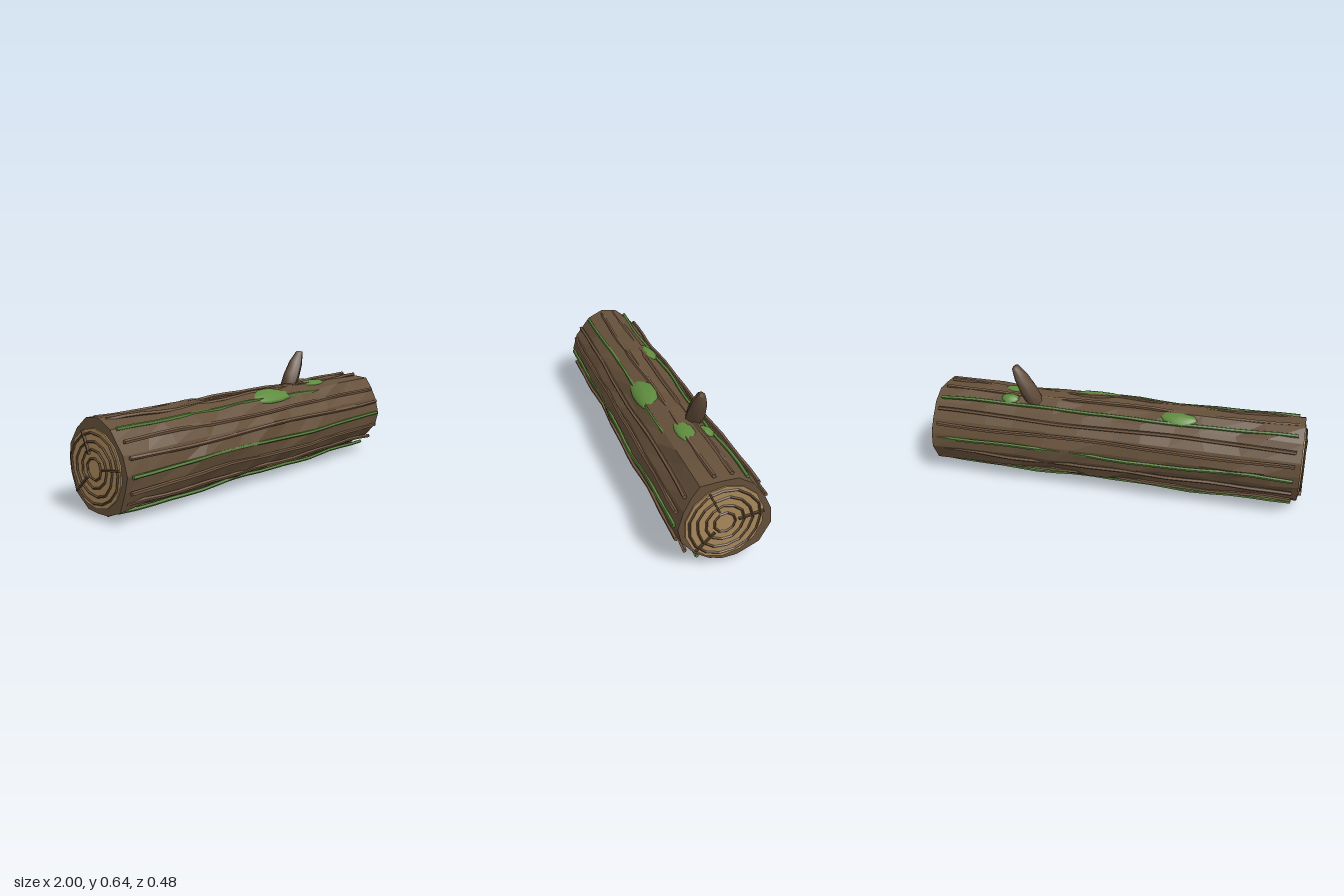
import * as THREE from 'three';

const CY = 0.237; // height of the log's axis
const DEG = Math.PI / 180;

const mat = (color, flatShading = true) => new THREE.MeshStandardMaterial({ color, flatShading });
const BARK = mat(0x65503a), RIDGE = mat(0x705640), MOSS = mat(0x58803a), WOOD = mat(0xa9875a);
const GROOVE = mat(0x5a452e), BRANCH = mat(0x5f4a38, false), MOSS_SOFT = mat(0x5f8c3e, false);

// Small seeded random numbers
function seeded(seed) {
  let s = seed;
  return () => (s = (s * 16807) % 2147483647) / 2147483647;
}

function add(group, name, geometry, material) {
  const mesh = new THREE.Mesh(geometry, material);
  mesh.name = name;
  group.add(mesh);
  return mesh;
}

// Point around the log's axis; angle runs from +z (front) up to +y
const around = (x, angle, r) => new THREE.Vector3(x, CY + r * Math.sin(angle), r * Math.cos(angle));

// Uneven faceted trunk: cross-sections lofted along x, closed at both ends
function trunkGeometry() {
  const angles = [0, 25, 45, 60, 83, 105, 128, 154, 175, 194, 221, 251, 270, 290, 313, 340];
  const radii = [0.215, 0.21, 0.22, 0.238, 0.215, 0.222, 0.215, 0.21, 0.225, 0.238, 0.235, 0.215, 0.208, 0.2, 0.198, 0.21];
  const n = angles.length, rows = 12, rand = seeded(77), pos = [];
  const rings = [];
  for (let i = 0; i <= rows; i++) {
    const end = i === 0 || i === rows;
    const t = i / rows;
    rings.push(angles.map((a, j) => {
      const mixed = THREE.MathUtils.lerp(radii[(j + 5) % n], radii[j], t);
      const r = end ? mixed : 0.55 * mixed + 0.45 * 0.219 + (rand() - 0.5) * 0.022;
      const x = -0.98 + 1.96 * t + (end ? 0 : (rand() - 0.5) * 0.08);
      return around(x, a * DEG, r);
    }));
  }
  const tri = (...pts) => pts.forEach((p) => pos.push(p.x, p.y, p.z));
  const left = around(0.98, 0, 0), right = around(-0.98, 0, 0);
  for (let j = 0; j < n; j++) {
    const k = (j + 1) % n;
    for (let i = 0; i < rows; i++) {
      tri(rings[i][j], rings[i + 1][j], rings[i + 1][k]);
      tri(rings[i][j], rings[i + 1][k], rings[i][k]);
    }
    tri(left, rings[rows][k], rings[rows][j]);
    tri(right, rings[0][j], rings[0][k]);
  }
  const g = new THREE.BufferGeometry();
  g.setAttribute('position', new THREE.Float32BufferAttribute(pos, 3));
  g.computeVertexNormals();
  return g;
}

// Thin strip along the bark that wanders in and out a little
function ridgeGeometry(angle, r, thick, seed) {
  const rand = seeded(seed), p1 = rand() * 6, p2 = rand() * 6;
  const g = new THREE.CylinderGeometry(thick, thick, 1.9, 5, 18).rotateZ(-Math.PI / 2);
  const p = g.attributes.position;
  for (let i = 0; i < p.count; i++) {
    const x = p.getX(i);
    const out = r + p.getY(i) + 0.005 * Math.sin(x * 7 + p1) + 0.003 * Math.sin(x * 15 + p2);
    const v = around(x, angle + 0.025 * Math.sin(x * 5 + p2), out);
    const side = p.getZ(i);
    p.setXYZ(i, x, v.y - side * Math.cos(angle), v.z + side * Math.sin(angle));
  }
  g.computeVertexNormals();
  return g;
}

// Sawn end: pale disc, growth rings and radial cracks; built facing +z
function cutEnd(name, seed) {
  const end = new THREE.Group();
  end.name = name;
  const rand = seeded(seed);
  const disc = add(end, 'cutFace', new THREE.CylinderGeometry(0.187, 0.187, 0.03, 14), WOOD);
  disc.rotation.x = Math.PI / 2;
  disc.position.z = 0.972;
  [0.051, 0.09, 0.13, 0.168].forEach((r, i) => {
    const sides = 9 + i * 2;
    const g = new THREE.TorusGeometry(r, 0.006, 4, sides);
    const wobble = Array.from({ length: sides }, () => 1 + (rand() - 0.5) * 0.06);
    const p = g.attributes.position;
    for (let k = 0; k < p.count; k++) {
      const w = wobble[(k % (sides + 1)) % sides];
      p.setXY(k, p.getX(k) * w, p.getY(k) * w);
    }
    g.computeVertexNormals();
    add(end, 'growthRing', g, GROOVE).position.z = 0.99;
  });
  // Angle, inner and outer radius of each crack
  [[115, 0.07, 0.183], [7, 0.064, 0.184], [223, 0.064, 0.184]].forEach(([a, r0, r1]) => {
    const crack = add(end, 'radialCrack', new THREE.BoxGeometry(r1 - r0, 0.008, 0.014), GROOVE);
    const mid = (r0 + r1) / 2;
    crack.position.set(mid * Math.cos(a * DEG), mid * Math.sin(a * DEG), 0.992);
    crack.rotation.z = a * DEG + (a === 7 ? 0.03 : 0);
  });
  end.position.y = CY;
  return end;
}

// Flattened uneven cushion lying on the bark
function mossPatch(group, x, angle, length, width, height, seed) {
  const rand = seeded(seed), phase = rand() * 6;
  const g = new THREE.SphereGeometry(1, 10, 6);
  const p = g.attributes.position;
  for (let i = 0; i < p.count; i++) {
    const a = Math.atan2(p.getZ(i), p.getX(i));
    const w = 1 + 0.1 * Math.sin(3 * a + phase) + 0.06 * Math.sin(5 * a);
    p.setXYZ(i, p.getX(i) * w * length, p.getY(i) * height, p.getZ(i) * w * width);
  }
  g.computeVertexNormals();
  const patch = add(group, 'mossPatch', g, MOSS_SOFT);
  patch.position.copy(around(x, angle * DEG, 0.217));
  patch.rotation.x = (90 - angle) * DEG;
}

// Leaning broken branch stub with a blunt, uneven tip
function branchStub() {
  const profile = [[0, -0.04], [0.045, -0.04], [0.047, 0.05], [0.039, 0.13], [0.021, 0.195], [0, 0.2]];
  const g = new THREE.LatheGeometry(profile.map(([r, y]) => new THREE.Vector2(r, y)), 7);
  const p = g.attributes.position;
  for (let i = 0; i < p.count; i++) {
    if (p.getY(i) > 0.18) p.setY(i, p.getY(i) + p.getZ(i) * 0.3);
  }
  g.computeVertexNormals();
  const stub = new THREE.Mesh(g, BRANCH);
  stub.name = 'branchStub';
  stub.position.set(0.445, 0.452, -0.057);
  stub.rotation.z = -28 * DEG;
  return stub;
}

export function createModel() {
  const log = new THREE.Group();
  log.name = 'fallenLog';
  add(log, 'trunk', trunkGeometry(), BARK);

  // Bark ridges all round, every third one mossy
  for (let i = 0; i < 18; i++) {
    const mossy = i % 3 === 0;
    add(log, mossy ? 'mossRidge' : 'barkRidge',
      ridgeGeometry(i * 20 * DEG, 0.222, mossy ? 0.01 : 0.0105, 1000 + i * 7919),
      mossy ? MOSS : RIDGE);
  }

  const leftEnd = cutEnd('leftCutEnd', 31);
  leftEnd.rotation.y = Math.PI / 2;
  const rightEnd = cutEnd('rightCutEnd', 97);
  rightEnd.rotation.y = -Math.PI / 2;
  log.add(leftEnd, rightEnd);

  log.add(branchStub());

  // Moss cushions on the upper side
  mossPatch(log, 0.11, 66, 0.15, 0.065, 0.024, 5);
  mossPatch(log, 0.55, 82, 0.1, 0.045, 0.014, 1234);
  mossPatch(log, -0.35, 112, 0.1, 0.045, 0.02, 777);
  mossPatch(log, 0.57, 110, 0.05, 0.035, 0.022, 4242);
  return log;
}
